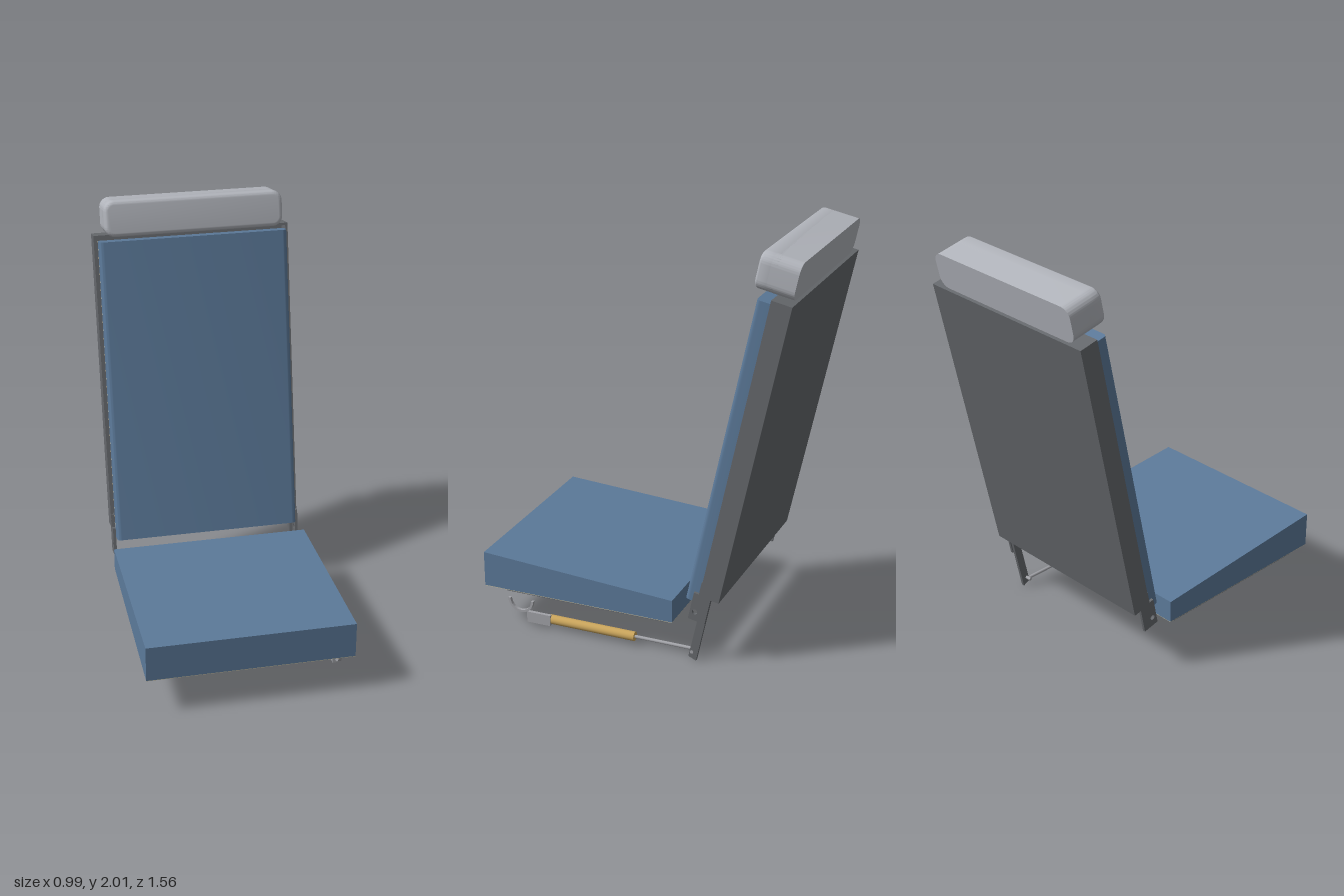
import * as THREE from 'three';
import { toCreasedNormals } from 'three/addons/utils/BufferGeometryUtils.js';

const material = (name, color) => {
  const m = new THREE.MeshStandardMaterial({ color });
  m.name = name;
  return m;
};

export function createModel() {
  const blue = material('blue fabric', 0x5c7a9a);
  const pale = material('pale grey padding', 0xb2b5bc);
  const steel = material('dark grey metal', 0x66696d);
  const silver = material('silver metal', 0xa2a3a8);
  const brass = material('brass', 0xcaa55c);
  const foam = material('tan foam', 0xc6bfa4);

  const model = new THREE.Group();
  model.name = 'recliningSeat';

  const add = (parent, name, geometry, mat, x = 0, y = 0, z = 0) => {
    const mesh = new THREE.Mesh(geometry, mat);
    mesh.name = name;
    mesh.position.set(x, y, z);
    parent.add(mesh);
    return mesh;
  };
  // Box given by its extents on each axis
  const box = (parent, name, mat, [x0, x1], [y0, y1], [z0, z1]) =>
    add(parent, name, new THREE.BoxGeometry(x1 - x0, y1 - y0, z1 - z0), mat,
      (x0 + x1) / 2, (y0 + y1) / 2, (z0 + z1) / 2);
  const smooth = (geometry) => toCreasedNormals(geometry, 0.6);

  // Side outline in (z, y), extruded across x and centred
  const sideExtrude = (shape, width) =>
    new THREE.ExtrudeGeometry(shape, { depth: width, bevelEnabled: false, curveSegments: 16 })
      .translate(0, 0, -width / 2).rotateY(-Math.PI / 2);
  const polygon = (points) => new THREE.Shape(points.map(([a, b]) => new THREE.Vector2(a, b)));

  // Seat: wedge cushion, foam underside and base plate
  const seat = new THREE.Group();
  seat.name = 'seat';
  model.add(seat);
  add(seat, 'seatCushion',
    sideExtrude(polygon([[-0.21, 0.182], [0.78, 0.182], [0.78, 0.36], [-0.21, 0.295]]), 0.99), blue);
  box(seat, 'seatFoamUnderside', foam, [-0.494, 0.494], [0.179, 0.182], [-0.209, 0.779]);
  box(seat, 'seatBasePlate', steel, [-0.49, 0.49], [0.173, 0.179], [-0.18, 0.66]);

  // Backrest: built upright, then leaned back about the cushion's lower front edge
  const back = new THREE.Group();
  back.name = 'backrest';
  back.position.set(0, 0.31, -0.265);
  back.rotation.x = -0.212;
  model.add(back);

  // Cushion with rounded front side edges
  const w = 0.467, r = 0.022;
  const plan = new THREE.Shape();
  plan.moveTo(-w + r, 0);
  plan.quadraticCurveTo(-w, 0, -w, r);
  plan.lineTo(-w, 0.07);
  plan.lineTo(w, 0.07);
  plan.lineTo(w, r);
  plan.quadraticCurveTo(w, 0, w - r, 0);
  const cushion = new THREE.ExtrudeGeometry(plan, { depth: 1.524, bevelEnabled: false, curveSegments: 6 });
  add(back, 'backCushion', smooth(cushion.rotateX(-Math.PI / 2)), blue);
  box(back, 'backCushionFoam', foam, [-w, w], [0.001, 1.523], [-0.074, -0.07]);

  // Shell: back plate, top flange and side flanges
  box(back, 'shellBackPlate', steel, [-0.487, 0.487], [0.05, 1.549], [-0.167, -0.155]);
  box(back, 'shellTopFlange', steel, [-0.487, 0.487], [1.537, 1.549], [-0.155, -0.07]);

  const bracketShape = polygon([[-0.125, -0.087], [-0.04, -0.087], [-0.04, 0.055], [-0.065, 0.055],
    [-0.065, 0.12], [-0.125, 0.12]]);
  const boltHole = new THREE.Path();
  boltHole.absarc(-0.065, -0.042, 0.013, 0, Math.PI * 2, true);
  bracketShape.holes.push(boltHole);
  for (const side of [-1, 1]) {
    const prefix = side > 0 ? 'left' : 'right';
    add(back, prefix + 'ShellFlange', new THREE.BoxGeometry(0.012, 1.487, 0.085), steel,
      side * 0.481, 0.7935, -0.1125);
    add(back, prefix + 'HingeBracket', sideExtrude(bracketShape, 0.014), steel, side * 0.477);
  }

  // Headrest: rounded block with softened front edge and square back
  const hw = 0.44, hh = 0.088, hr = 0.05;
  const head = new THREE.Shape();
  head.absarc(hw - hr, hh - hr, hr, 0, Math.PI / 2);
  head.absarc(-hw + hr, hh - hr, hr, Math.PI / 2, Math.PI);
  head.absarc(-hw + hr, -hh + hr, hr, Math.PI, Math.PI * 1.5);
  head.absarc(hw - hr, -hh + hr, hr, Math.PI * 1.5, Math.PI * 2);
  add(back, 'headrestBack', smooth(new THREE.ExtrudeGeometry(head,
    { depth: 0.13, bevelEnabled: false, curveSegments: 10 })), pale, 0, 1.637, -0.151);
  add(back, 'headrestFront', smooth(new THREE.ExtrudeGeometry(head,
    { depth: 0.07, bevelThickness: 0.02, bevelSize: 0.02, bevelOffset: -0.02, bevelSegments: 5, curveSegments: 10 })),
    pale, 0, 1.637, -0.053);

  // Lever hanging below the left hinge
  add(back, 'recliningLever',
    sideExtrude(polygon([[-0.122, -0.304], [-0.081, -0.295], [-0.083, 0.05], [-0.122, 0.05]]), 0.016),
    steel, 0.458);

  // Gas strut under the seat
  const strut = new THREE.Group();
  strut.name = 'gasStrut';
  model.add(strut);
  const rod = (name, mat, radius, z0, z1) =>
    add(strut, name, new THREE.CylinderGeometry(radius, radius, z1 - z0, 24).rotateX(Math.PI / 2),
      mat, 0.437, 0.032, (z0 + z1) / 2);
  rod('strutRod', silver, 0.008, -0.3, 0.02);
  rod('strutCylinder', brass, 0.023, 0.005, 0.46);
  add(strut, 'strutPivotPin', new THREE.CylinderGeometry(0.008, 0.008, 0.05, 16).rotateZ(Math.PI / 2),
    silver, 0.445, 0.03, -0.3);
  box(strut, 'strutEndPlate', silver, [0.446, 0.463], [0.006, 0.062], [0.447, 0.572]);

  // Open hook above the end plate
  const hook = new THREE.Shape();
  hook.absarc(0.605, 0.12, 0.068, Math.PI, Math.PI * 2, false);
  hook.absarc(0.605, 0.12, 0.056, Math.PI * 2, Math.PI, true);
  add(strut, 'mountingHook', smooth(sideExtrude(hook, 0.016)), silver, 0.455);

  return model;
}
